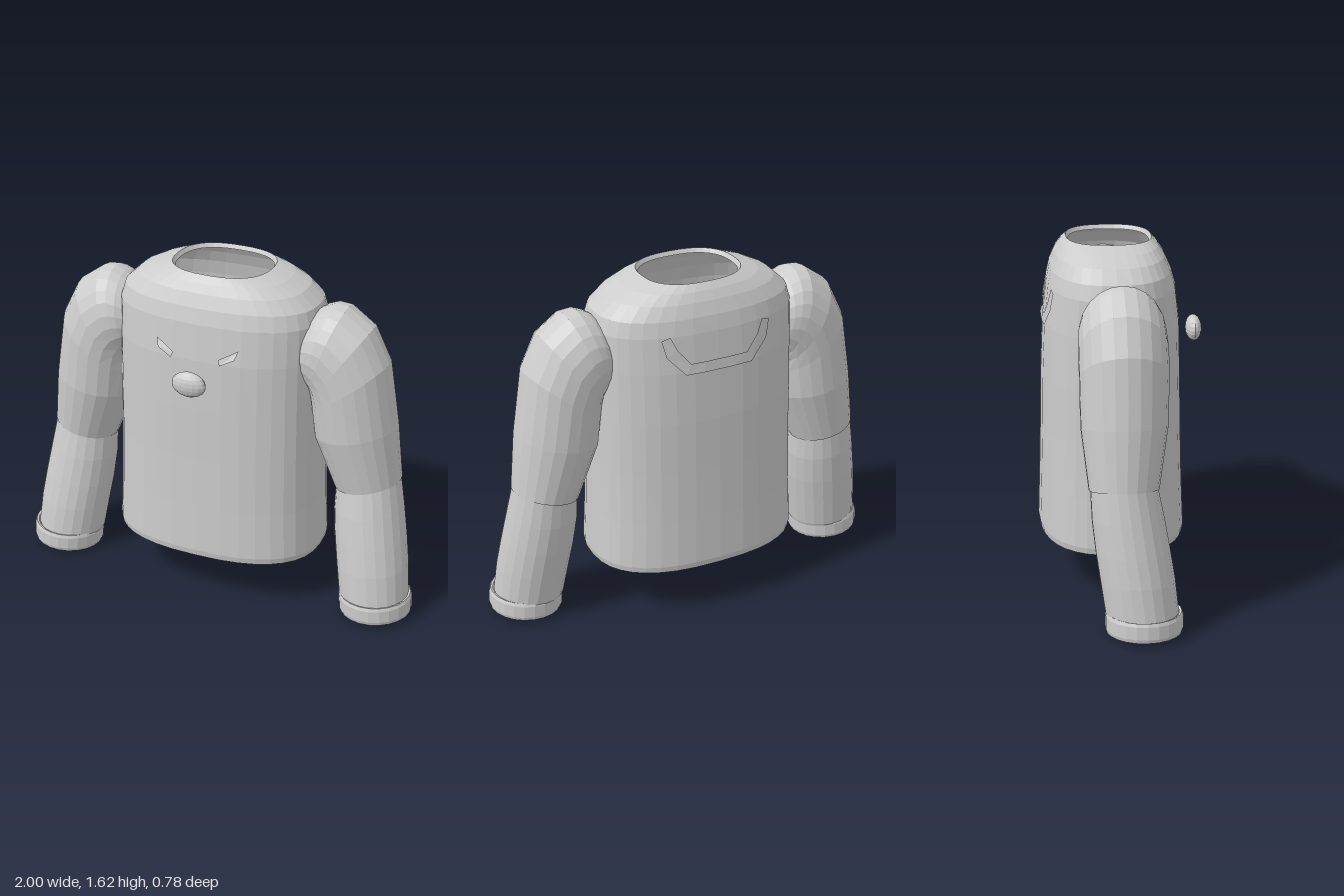
import * as THREE from 'three';

const fabric = new THREE.MeshStandardMaterial({ color: 0xcccccc, flatShading: true, side: THREE.DoubleSide });
fabric.name = 'grey fabric';

// Skin a list of equal-length point rings; optionally close each ring.
function loft(rings, closed = true) {
  const n = rings[0].length, pos = [], idx = [];
  rings.forEach(r => r.forEach(p => pos.push(p.x, p.y, p.z)));
  for (let i = 0; i < rings.length - 1; i++) {
    for (let j = 0; j < (closed ? n : n - 1); j++) {
      const a = i * n + j, b = i * n + (j + 1) % n;
      idx.push(a, b, a + n, b, b + n, a + n);
    }
  }
  const g = new THREE.BufferGeometry();
  g.setAttribute('position', new THREE.Float32BufferAttribute(pos, 3));
  g.setIndex(idx);
  g.computeVertexNormals();
  return g;
}

function mesh(name, geometry) {
  const m = new THREE.Mesh(geometry, fabric);
  m.name = name;
  return m;
}

// Torso sections: y, half width, front z, back z
const TORSO = [
  [1.60, 0.222, 0.138, -0.232], [1.62, 0.235, 0.15, -0.243], [1.59, 0.325, 0.178, -0.27],
  [1.55, 0.405, 0.205, -0.295], [1.49, 0.47, 0.233, -0.32], [1.42, 0.49, 0.253, -0.335],
  [1.25, 0.492, 0.273, -0.354], [1.0, 0.493, 0.28, -0.365], [0.75, 0.495, 0.285, -0.37],
  [0.5, 0.501, 0.292, -0.377], [0.27, 0.512, 0.302, -0.385], [0.24, 0.506, 0.297, -0.38],
];
const POWER = 2.5;

function torsoRing([y, rx, front, back], n = 36) {
  const bend = v => Math.sign(v) * Math.abs(v) ** (2 / POWER);
  return Array.from({ length: n }, (_, i) => {
    const t = i / n * Math.PI * 2;
    return new THREE.Vector3(rx * bend(Math.cos(t)), y,
      (front + back) / 2 + (front - back) / 2 * bend(Math.sin(t)));
  });
}

// Point lying just outside the torso at (x, y); side is 1 for front, -1 for back
function onTorso(x, y, side, gap) {
  let k = 1;
  while (TORSO[k + 1][0] > y) k++;
  const A = TORSO[k], B = TORSO[k + 1], t = (A[0] - y) / (A[0] - B[0]);
  const [rx, f, b] = [1, 2, 3].map(i => A[i] + (B[i] - A[i]) * t);
  const depth = (1 - Math.abs(x / rx) ** POWER) ** (1 / POWER);
  return new THREE.Vector3(x, y, (f + b) / 2 + side * ((f - b) / 2 * depth + gap));
}

// Sleeve section: outer x,y, inner x,y, centre z, half depth
function sleeveRing([ox, oy, ix, iy, zc, rz], scale = 1, n = 22) {
  return Array.from({ length: n }, (_, i) => {
    const t = i / n * Math.PI * 2, c = Math.cos(t) * scale / 2;
    return new THREE.Vector3((ox + ix) / 2 + (ox - ix) * c, (oy + iy) / 2 + (oy - iy) * c,
      zc + rz * scale * Math.sin(t));
  });
}

function sleeve(name) {
  const g = new THREE.Group();
  g.name = name;
  const upper = [
    [0.44, 1.45, 0.42, 1.13, -0.03, 0.155], [0.50, 1.49, 0.44, 1.11, -0.03, 0.178],
    [0.55, 1.51, 0.45, 1.09, -0.03, 0.187], [0.61, 1.505, 0.46, 1.07, -0.03, 0.193],
    [0.73, 1.42, 0.46, 1.04, -0.03, 0.197], [0.81, 1.26, 0.46, 1.0, -0.03, 0.197],
    [0.86, 0.95, 0.475, 0.87, -0.033, 0.192], [0.89, 0.68, 0.58, 0.61, -0.04, 0.155],
  ];
  g.add(mesh('upperSleeve', loft([...upper.map(r => sleeveRing(r)), sleeveRing(upper[7], 0.9)])));

  const lower = [
    [0.885, 0.69, 0.585, 0.62, -0.04, 0.148], [0.913, 0.54, 0.585, 0.5, -0.024, 0.16],
    [0.94, 0.39, 0.6, 0.36, -0.004, 0.165], [0.96, 0.26, 0.62, 0.235, 0.015, 0.166],
    [0.975, 0.11, 0.643, 0.09, 0.033, 0.163], [0.965, 0.065, 0.66, 0.045, 0.038, 0.15],
  ];
  g.add(mesh('lowerSleeve', loft([sleeveRing(lower[0], 0.9), ...lower.map(r => sleeveRing(r)),
    sleeveRing(lower[5], 0.001)])));

  // Rolled cuff: height above its foot and scale, from the top inside round to the recess
  const band = [[0.09, 0.9], [0.094, 0.965], [0.078, 1], [0.02, 1], [0.003, 0.97], [0, 0.91], [0.02, 0.88], [0.06, 0.87]];
  g.add(mesh('cuff', loft(band.map(([h, s]) =>
    sleeveRing([0.999 - h * 0.06, 0.023 + h, 0.651 - h * 0.06, 0.003 + h, 0.042, 0.173], s)))));
  return g;
}

export function createModel() {
  const model = new THREE.Group();
  model.name = 'sweater';
  model.add(mesh('torso', loft(TORSO.map(r => torsoRing(r)))));

  const left = sleeve('leftSleeve'), right = sleeve('rightSleeve');
  right.scale.x = -1;
  model.add(left, right);

  // Oval nose floating ahead of the chest
  const nose = mesh('nose', new THREE.SphereGeometry(1, 16, 10));
  nose.scale.set(0.083, 0.06, 0.038);
  nose.position.set(0, 1.17, 0.353);
  model.add(nose);

  // Slanted eye patches
  for (const s of [1, -1]) {
    const row = pts => pts.map(([x, y, z]) => new THREE.Vector3(s * x, y, z));
    const rows = [row([[0.11, 1.28, 0.282], [0.2, 1.33, 0.258]]), row([[0.12, 1.255, 0.289], [0.188, 1.29, 0.277]])];
    model.add(mesh(s > 0 ? 'leftEye' : 'rightEye', loft(s > 0 ? rows : rows.reverse(), false)));
  }

  // Curved strip across the back
  const half = [[0.23, 1.425, 0.27, 1.41], [0.2, 1.36, 0.25, 1.33], [0.14, 1.29, 0.165, 1.24], [0.07, 1.29, 0.08, 1.24]];
  const strip = [...half, ...half.slice().reverse().map(([a, b, c, d]) => [-a, b, -c, d])];
  model.add(mesh('backStrip', loft([
    strip.map(p => onTorso(p[0], p[1], -1, 0.008)),
    strip.map(p => onTorso(p[2], p[3], -1, 0.008)),
  ], false)));
  return model;
}
